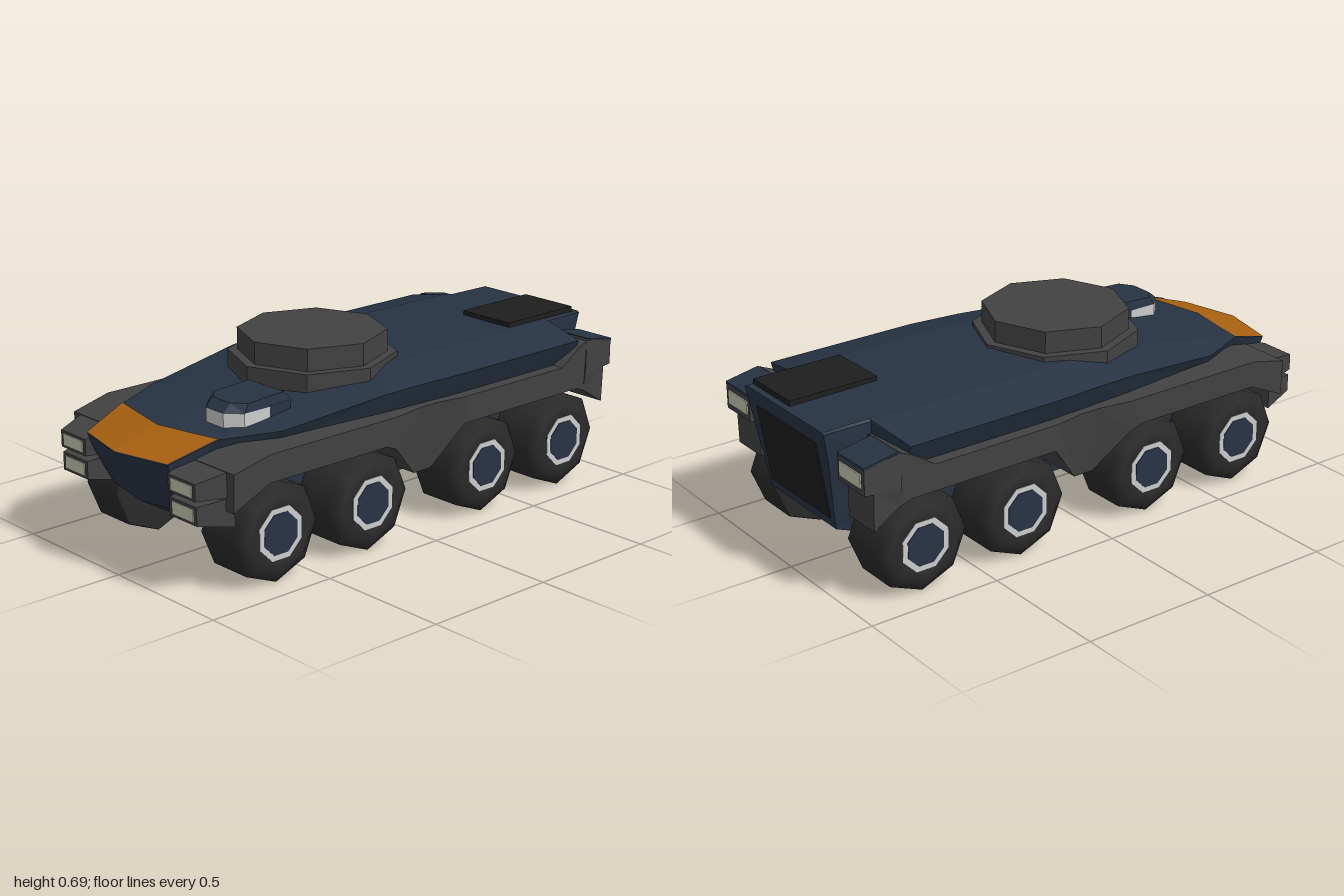
import * as THREE from 'three';

const mat = (color, flat = true) =>
  new THREE.MeshStandardMaterial({ color, flatShading: flat, roughness: 0.9 });
const BLUE = mat(0x273343), GREY = mat(0x424242), DARK = mat(0x1e1e1e), TYRE = mat(0x2a2a2a, false),
  ORANGE = mat(0xa86010), LAMP = mat(0xc5cab0), PALE = mat(0xc4c4c4);

// Skin cross-sections (ordered rear to front, top centre outwards and down) and mirror them over x = 0
function loft(rows, closed = false) {
  const pos = [];
  const tri = (a, b, c) => {
    for (const p of [a, b, c]) pos.push(...p);
    for (const p of [a, c, b]) pos.push(-p[0], p[1], p[2]);
  };
  const n = rows[0].length;
  for (let i = 0; i < rows.length - 1; i++) {
    for (let j = 0; j < (closed ? n : n - 1); j++) {
      const k = (j + 1) % n;
      const a = rows[i][j], b = rows[i][k], c = rows[i + 1][k], d = rows[i + 1][j];
      tri(a, d, c);
      tri(a, c, b);
    }
  }
  const g = new THREE.BufferGeometry();
  g.setAttribute('position', new THREE.Float32BufferAttribute(pos, 3));
  g.computeVertexNormals();
  return g;
}

// Closed four-sided solid from stations [z, inner x, top outer x, bottom outer x, top y, bottom y]
function solid(stations) {
  const rows = stations.map(([z, xi, xt, xb, yt, yb]) =>
    [[xi, yt, z], [xt, yt, z], [xb, yb, z], [xi, yb, z]]);
  const cap = r => {
    const c = [0, 1, 2].map(k => r.reduce((s, p) => s + p[k], 0) / 4);
    return r.map(() => c);
  };
  return loft([cap(rows[0]), ...rows, cap(rows[rows.length - 1])], true);
}

export function createModel() {
  const model = new THREE.Group();
  const add = (name, geo, material, x = 0, y = 0, z = 0, parent = model) => {
    const m = new THREE.Mesh(geo, material);
    m.name = name;
    m.position.set(x, y, z);
    parent.add(m);
    return m;
  };
  const box = (name, material, x0, x1, y0, y1, z0, z1) =>
    add(name, new THREE.BoxGeometry(x1 - x0, y1 - y0, z1 - z0), material,
      (x0 + x1) / 2, (y0 + y1) / 2, (z0 + z1) / 2);

  // Hull: roof centre, roof edge, shoulder, waist, chine, belly edge, belly centre
  const at = (z, ...pts) => pts.map(([x, y]) => [x, y, z]);
  const tail = [[0, 0.59, -1], [0.24, 0.59, -1], [0.25, 0.585, -1], [0.24, 0.47, -0.98],
    [0.21, 0.25, -0.947], [0.205, 0.21, -0.94], [0, 0.21, -0.94]];
  const brow = [[0, 0.487, 0.82], [0.13, 0.488, 0.795], [0.26, 0.49, 0.77], [0.23, 0.42, 0.77],
    [0.21, 0.25, 0.75], [0.2, 0.165, 0.72], [0, 0.165, 0.72]];
  const nose = [[0, 0.435, 1], [0.11, 0.435, 0.975], [0.22, 0.435, 0.95], [0.21, 0.375, 0.93],
    [0.2, 0.24, 0.86], [0.19, 0.18, 0.78], [0, 0.18, 0.8]];
  const centre = (row, zs) => row.map(([, y], i) => [0, y, zs[i]]);
  add('hull', loft([
    centre(tail, tail.map(p => p[2])),
    tail,
    at(-0.82, [0, 0.592], [0.24, 0.592], [0.25, 0.585], [0.25, 0.47], [0.22, 0.25], [0.2, 0.16], [0, 0.16]),
    at(-0.79, [0, 0.592], [0.26, 0.592], [0.435, 0.555], [0.39, 0.46], [0.22, 0.37], [0.21, 0.16], [0, 0.16]),
    at(-0.2, [0, 0.6], [0.26, 0.595], [0.435, 0.555], [0.39, 0.46], [0.22, 0.37], [0.21, 0.16], [0, 0.16]),
    at(0, [0, 0.6], [0.25, 0.59], [0.42, 0.552], [0.38, 0.46], [0.22, 0.37], [0.21, 0.16], [0, 0.16]),
    at(0.16, [0, 0.575], [0.22, 0.572], [0.405, 0.545], [0.37, 0.46], [0.22, 0.37], [0.21, 0.16], [0, 0.16]),
    at(0.57, [0, 0.517], [0.2, 0.515], [0.35, 0.497], [0.32, 0.44], [0.22, 0.37], [0.21, 0.16], [0, 0.16]),
    brow, nose,
    centre(nose, [1, 1, 1, 0.97, 0.9, 0.8, 0.8]),
  ]), BLUE);
  const lift = row => row.slice(0, 3).map(([x, y, z]) => [x, y + 0.003, z]);
  add('nosePanel', loft([lift(brow), lift(nose)]), ORANGE);

  // Fenders with a hanging skirt between the second and third axles
  add('fenders', solid([
    [-0.84, 0.26, 0.44, 0.43, 0.55, 0.35],
    [-0.79, 0.24, 0.44, 0.435, 0.53, 0.37],
    [-0.70, 0.2, 0.44, 0.435, 0.47, 0.37],
    [-0.20, 0.2, 0.44, 0.435, 0.47, 0.37],
    [-0.08, 0.2, 0.42, 0.385, 0.47, 0.22],
    [0.0, 0.2, 0.42, 0.385, 0.47, 0.22],
    [0.13, 0.2, 0.44, 0.43, 0.47, 0.35],
    [0.18, 0.2, 0.44, 0.435, 0.47, 0.37],
    [0.70, 0.2, 0.44, 0.435, 0.47, 0.37],
    [0.85, 0.2, 0.435, 0.43, 0.435, 0.30],
  ]), GREY);

  // Lamp housings, front and rear
  add('upperFrontHousings', solid([
    [0.84, 0.2, 0.40, 0.40, 0.435, 0.345], [0.955, 0.225, 0.365, 0.365, 0.41, 0.35]]), GREY);
  add('lowerFrontHousings', solid([
    [0.82, 0.2, 0.40, 0.40, 0.345, 0.24], [0.95, 0.225, 0.365, 0.365, 0.33, 0.265]]), GREY);
  add('rearHousings', solid([
    [-0.97, 0.28, 0.435, 0.435, 0.525, 0.43], [-0.83, 0.28, 0.44, 0.44, 0.548, 0.42]]), GREY);
  add('rearHousingTops', solid([
    [-0.971, 0.279, 0.436, 0.436, 0.53, 0.52], [-0.84, 0.279, 0.438, 0.438, 0.553, 0.54]]), BLUE);
  add('rearMudguards', solid([
    [-0.935, 0.28, 0.435, 0.43, 0.43, 0.29], [-0.83, 0.27, 0.44, 0.43, 0.43, 0.355]]), GREY);
  for (const [s, side] of [[1, 'left'], [-1, 'right']]) {
    const lamp = (name, x, y, z, w, h) =>
      add(side + name, new THREE.BoxGeometry(w, h, 0.01), LAMP, s * x, y, z);
    lamp('UpperHeadlight', 0.295, 0.38, 0.953, 0.11, 0.042);
    lamp('LowerHeadlight', 0.295, 0.297, 0.948, 0.11, 0.045);
    lamp('TailLight', 0.355, 0.478, -0.97, 0.125, 0.05);
  }

  // Turret ring and turret
  add('turretRing', new THREE.CylinderGeometry(0.3, 0.3, 0.1, 8), GREY, 0, 0.56, 0.13);
  add('turret', new THREE.CylinderGeometry(0.265, 0.265, 0.09, 8), GREY, 0, 0.645, 0.13);

  // Driver's hood: glazed front, solid back and sloped cap
  const outline = (pts, y0, y1) => {
    const shape = new THREE.Shape(pts.map(([x, z]) => new THREE.Vector2(x, -z)));
    return new THREE.ExtrudeGeometry(shape, { depth: y1 - y0, bevelEnabled: false })
      .rotateX(-Math.PI / 2).translate(0, y0, 0);
  };
  const hood = z0 => [[0.06, z0], [0.06, 0.65], [0.11, 0.7], [0.2, 0.7], [0.25, 0.65], [0.25, z0]];
  add('driverWindow', outline(hood(0.54), 0.48, 0.55), PALE);
  box('driverHoodBack', BLUE, 0.06, 0.25, 0.48, 0.555, 0.45, 0.545);
  const cap = outline(hood(0.44), 0.55, 0.588);
  const p = cap.attributes.position;
  for (let i = 0; i < p.count; i++) {
    if (p.getY(i) > 0.57) {
      p.setX(i, 0.155 + (p.getX(i) - 0.155) * 0.95);
      p.setZ(i, 0.57 + (p.getZ(i) - 0.57) * 0.74);
      p.setY(i, 0.588 - Math.max(0, p.getZ(i) - 0.5) * 0.06);
    }
  }
  add('driverHoodCap', cap, BLUE);

  // Roof hatch and rear door
  box('roofHatch', DARK, 0, 0.235, 0.585, 0.61, -0.975, -0.63);
  add('rearDoor', new THREE.BoxGeometry(0.37, 0.29, 0.012), DARK, 0, 0.39, -0.967).rotation.x = -0.156;

  // Wheels and axles
  const profile = [[0, 0], [0.175, 0], [0.18, 0.005], [0.18, 0.17], [0.14, 0.195], [0.09, 0.195], [0.085, 0.18], [0, 0.18]];
  const tyre = new THREE.LatheGeometry(profile.map(([r, y]) => new THREE.Vector2(r, y)), 8).rotateZ(-Math.PI / 2);
  const disc = (r, h) => new THREE.CylinderGeometry(r, r, h, 8, 1, false, Math.PI / 8).rotateZ(-Math.PI / 2);
  const rim = disc(0.098, 0.02), hub = disc(0.077, 0.02);
  for (const z of [0.65, 0.235, -0.325, -0.735]) {
    add('axle', new THREE.CylinderGeometry(0.045, 0.045, 0.48, 8).rotateZ(Math.PI / 2), DARK, 0, 0.18, z);
    for (const s of [1, -1]) {
      const wheel = new THREE.Group();
      wheel.name = s > 0 ? 'leftWheel' : 'rightWheel';
      wheel.position.set(s * 0.23, 0.18, z);
      wheel.rotation.y = s > 0 ? 0 : Math.PI;
      add('tyre', tyre, TYRE, 0, 0, 0, wheel);
      add('rim', rim, PALE, 0.187, 0, 0, wheel);
      add('hub', hub, BLUE, 0.189, 0, 0, wheel);
      model.add(wheel);
    }
  }
  return model;
}
